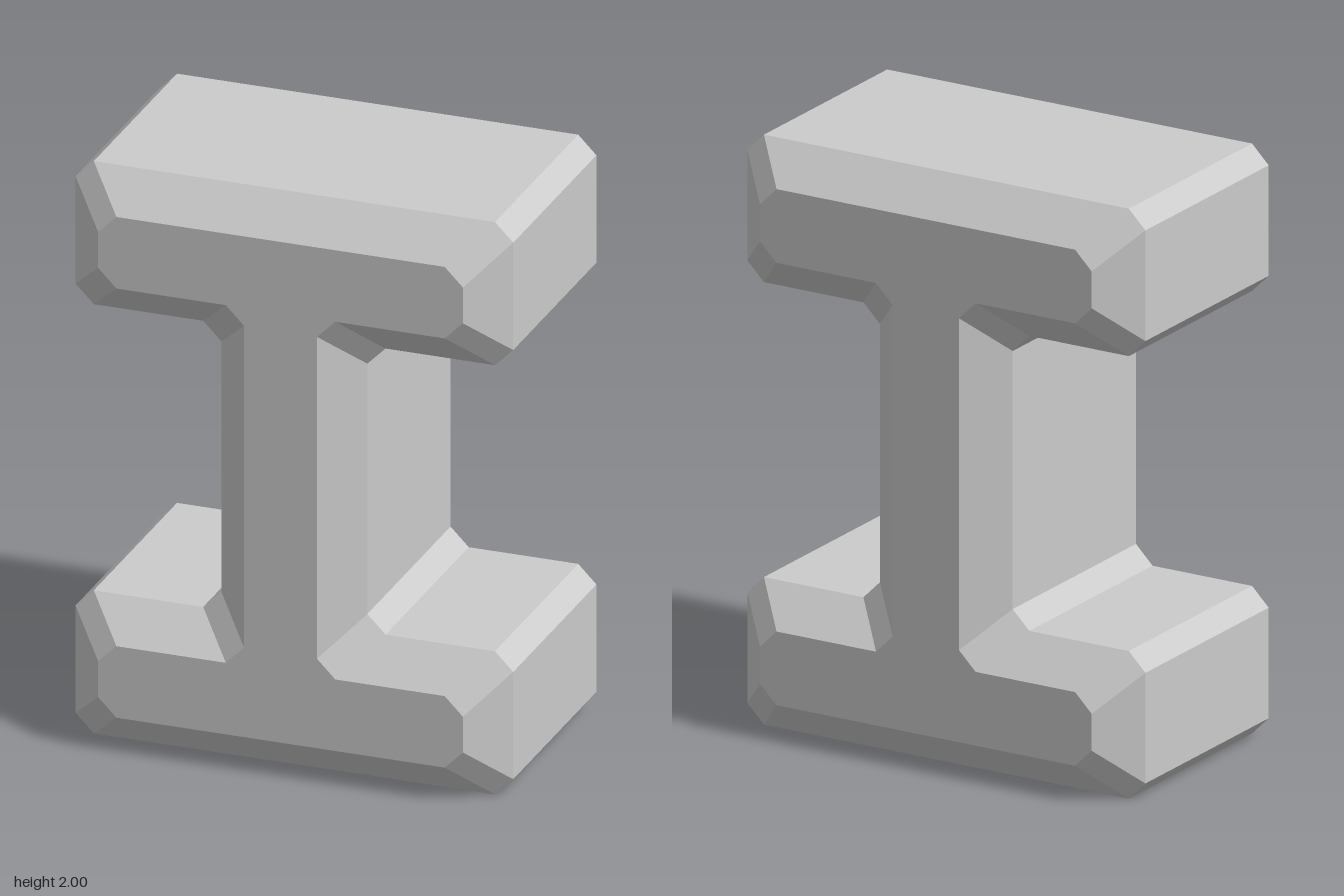
import * as THREE from 'three';

// Counter-clockwise I-shaped outline with small cut corners, shrunk by d.
function outline(d) {
  const c = 0.0625;
  const stem = 0.25 - d, under = 1.5 + d, side = 0.75 - d, top = 2 - d;
  const quarter = [
    [stem, under - c], [stem + c, under], [side - c, under],
    [side, under + c], [side, top - c], [side - c, top],
  ];
  const place = (pts, sx, flip) =>
    pts.map(([x, y]) => new THREE.Vector2(sx * x, flip ? 2 - y : y));
  const back = [...quarter].reverse();
  return [
    ...place(quarter, 1, false), ...place(back, -1, false),
    ...place(quarter, -1, true), ...place(back, 1, true),
  ];
}

export function createModel() {
  const group = new THREE.Group();
  group.name = 'beveledBeam';

  // Cross-sections from back to front; the end ones are inset for the bevel.
  const sections = [[-0.5, 0.125], [-0.375, 0], [0.375, 0], [0.5, 0.125]]
    .map(([z, d]) => outline(d).map((p) => new THREE.Vector3(p.x, p.y, z)));
  const positions = [];
  const tri = (...pts) => pts.forEach((p) => positions.push(p.x, p.y, p.z));

  // Bevels and straight walls
  for (let k = 0; k < sections.length - 1; k++) {
    const n = sections[k].length;
    for (let i = 0; i < n; i++) {
      const j = (i + 1) % n;
      const a = sections[k][i], b = sections[k][j];
      const c = sections[k + 1][j], d = sections[k + 1][i];
      tri(a, b, c);
      tri(a, c, d);
    }
  }

  // Flat back and front faces
  const first = sections[0], last = sections[sections.length - 1];
  for (const [a, b, c] of THREE.ShapeUtils.triangulateShape(outline(0.125), [])) {
    tri(last[a], last[b], last[c]);
    tri(first[c], first[b], first[a]);
  }

  const geometry = new THREE.BufferGeometry();
  geometry.setAttribute('position', new THREE.Float32BufferAttribute(positions, 3));
  geometry.computeVertexNormals();
  const beam = new THREE.Mesh(
    geometry,
    new THREE.MeshStandardMaterial({ color: 0xcccccc, flatShading: true })
  );
  beam.name = 'beam';
  group.add(beam);
  return group;
}
